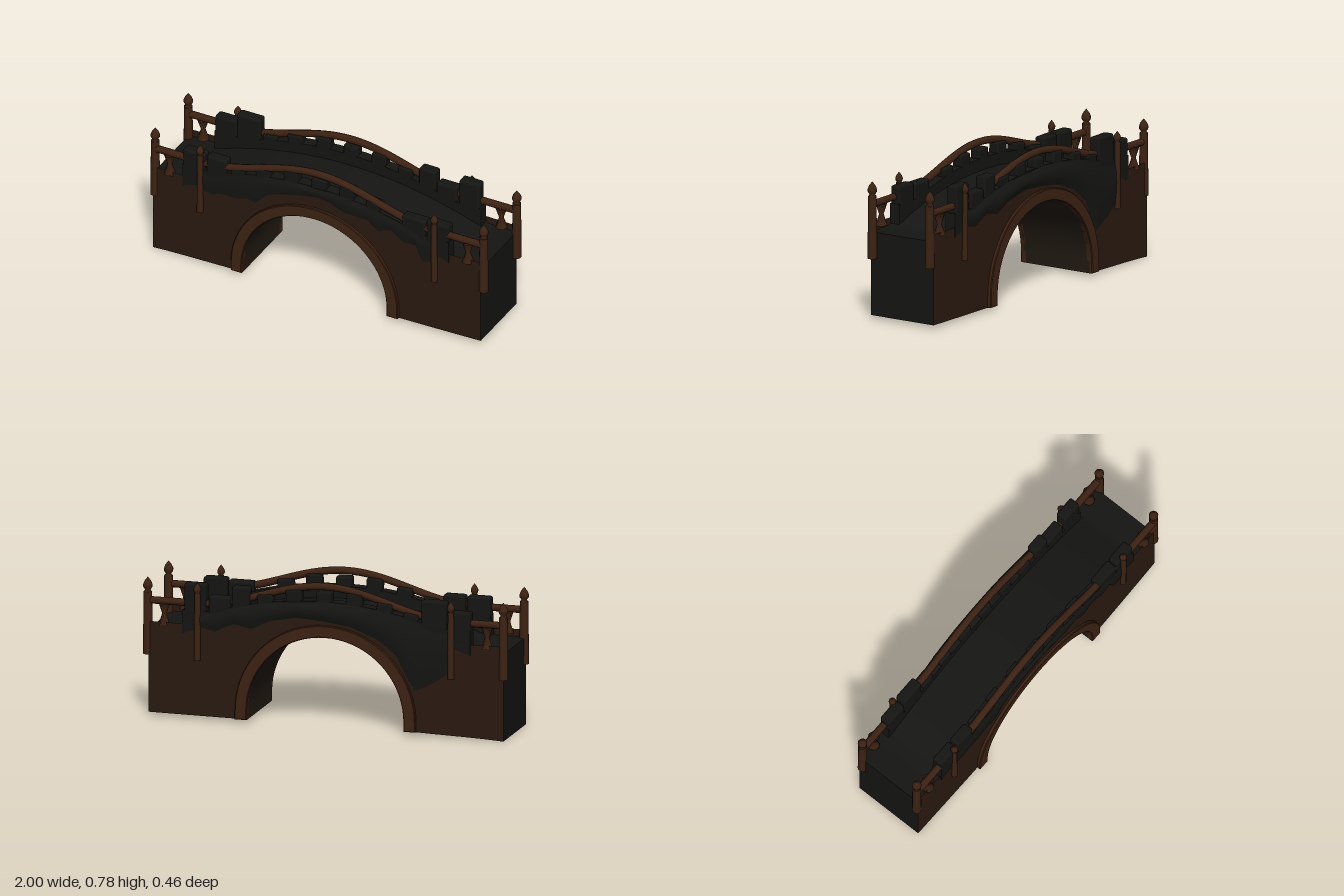
import * as THREE from 'three';
import { RoundedBoxGeometry } from 'three/addons/geometries/RoundedBoxGeometry.js';

const mat = (color) => new THREE.MeshStandardMaterial({ color, side: THREE.DoubleSide });
const wood = mat(0x3d2213), plaster = mat(0x2a1a10), stone = mat(0x151613), lining = mat(0x211a12);

// Arch opening and the curves the bridge follows along x
const CX = -0.01, R = 0.43, SPRING = 0.07;
const deckY = (x) => 0.47 + 0.15 * Math.max(0, 1 - (x / 0.8) ** 2);
const wallTop = (x) => Math.max(0.51, deckY(x) + 0.02);
const courseTop = (x) => 0.685 - 0.1 * Math.min(1, (x / 0.62) ** 2);
const railY = (x) => 0.62 + (Math.abs(x) < 0.7 ? 0.07 * (1 + Math.cos((Math.PI * x) / 0.7)) : 0);
const wallZ = (x, s) => (s > 0 ? 0.204 : -0.194) + s * 0.014 * (1 - x * x);

function lerpTable(table, x) {
  for (let i = 1; i < table.length; i++) {
    const [x0, y0] = table[i - 1], [x1, y1] = table[i];
    if (x <= x1) return y0 + ((y1 - y0) * (x - x0)) / (x1 - x0);
  }
  return table[table.length - 1][1];
}

// Grid surface from a rule fn(i, j) -> [x, y, z]
function sheet(nu, nv, fn) {
  const pos = [], idx = [];
  for (let i = 0; i <= nu; i++) for (let j = 0; j <= nv; j++) pos.push(...fn(i, j));
  for (let i = 0; i < nu; i++) for (let j = 0; j < nv; j++) {
    const a = i * (nv + 1) + j, b = a + nv + 1;
    idx.push(a, b, a + 1, b, b + 1, a + 1);
  }
  const g = new THREE.BufferGeometry();
  g.setAttribute('position', new THREE.Float32BufferAttribute(pos, 3));
  g.setIndex(idx);
  g.computeVertexNormals();
  return g;
}

function archPoints(r, n = 36) {
  const pts = [[CX - r, 0.02]];
  for (let i = 0; i <= n; i++) {
    const a = Math.PI * (1 - i / n);
    pts.push([CX + r * Math.cos(a), SPRING + (r - 0.005) * Math.sin(a)]);
  }
  return [...pts, [CX + r, 0.02]];
}

export function createModel() {
  const model = new THREE.Group();
  const add = (name, geo, material, x = 0, y = 0, z = 0) => {
    const m = new THREE.Mesh(geo, material);
    m.name = name;
    m.position.set(x, y, z);
    model.add(m);
    return m;
  };

  // Bottom outline: left pier, arch, right pier
  const arch = archPoints(R);
  const base = [[-0.98, 0], [-0.88, 0.006], [-0.78, 0.01], [-0.6, 0.015], ...arch,
    [0.6, 0.02], [0.78, 0.02], [0.88, 0.02], [0.965, 0.02]];

  // Arch lining and the walking deck
  add('archLining', sheet(arch.length - 1, 1, (i, j) =>
    [arch[i][0], arch[i][1], wallZ(arch[i][0], j ? 1 : -1)]), lining);
  add('deck', sheet(48, 1, (i, j) => {
    const x = -0.98 + (1.945 * i) / 48;
    return [x, deckY(x), wallZ(x, j ? -1 : 1)];
  }), stone);

  // End walls
  for (const [x, y] of [base[0], base[base.length - 1]])
    add('endWall', sheet(1, 1, (i, j) => [x, j ? 0.47 : y, wallZ(x, i ? 1 : -1)]), stone);

  // Ragged lower edges of the dark facing, front and back
  const ragged = {
    front: [[-0.68, 0.46], [-0.62, 0.45], [-0.58, 0.47], [-0.48, 0.47], [-0.42, 0.49], [-0.36, 0.48],
      [-0.3, 0.55], [-0.22, 0.58], [-0.1, 0.61], [0, 0.63], [0.08, 0.62], [0.14, 0.59], [0.22, 0.58],
      [0.3, 0.58], [0.36, 0.53], [0.44, 0.56], [0.52, 0.5], [0.58, 0.52], [0.62, 0.42], [0.68, 0.43]],
    back: [[-0.7, 0.36], [-0.6, 0.29], [-0.5, 0.24], [-0.46, 0.3], [-0.4, 0.42], [-0.3, 0.5], [-0.15, 0.56],
      [0, 0.58], [0.15, 0.59], [0.3, 0.56], [0.4, 0.51], [0.5, 0.53], [0.6, 0.48], [0.68, 0.5]],
  };
  // Tall end merlons: [x, width, top]
  const endMerlons = {
    front: [[-0.735, 0.13, 0.68], [-0.6, 0.12, 0.68], [0.57, 0.14, 0.67], [0.71, 0.13, 0.68]],
    back: [[-0.735, 0.13, 0.68], [-0.6, 0.14, 0.73], [0.46, 0.1, 0.73], [0.575, 0.12, 0.67], [0.71, 0.12, 0.73]],
  };

  const finial = new THREE.LatheGeometry([[0, 0.09], [0.006, 0.082], [0.018, 0.066], [0.025, 0.048],
    [0.024, 0.034], [0.014, 0.02], [0.02, 0.012], [0.02, 0]].reverse().map((p) => new THREE.Vector2(...p)), 16);

  for (const s of [1, -1]) {
    const side = s > 0 ? 'front' : 'back';
    const postZ = s > 0 ? 0.19 : -0.178, railZ = s > 0 ? 0.195 : -0.176;
    const parapetZ = s > 0 ? 0.184 : -0.173;

    // Side wall with the arch cut out
    add(side + 'Wall', sheet(base.length - 1, 4, (i, j) => {
      const [x, y] = base[i];
      return [x, y + ((wallTop(x) - y) * j) / 4, wallZ(x, s)];
    }), plaster);

    // Dark facing swelling out of the wall below the parapet
    add(side + 'Facing', sheet(80, 4, (i, j) => {
      const x = -0.69 + (1.375 * i) / 80, v = j / 4;
      const low = lerpTable(ragged[side], x), high = courseTop(x) - 0.005;
      const bulge = 0.003 + (s > 0 ? 0.006 : 0.016) * Math.sin(Math.PI * v) * (1 - x * x);
      return [x, low + (high - low) * v, wallZ(x, s) + s * bulge * (v < 1 ? 1 : -1)];
    }), stone);

    // Raised arch trim
    const ring = new THREE.Shape([...archPoints(R + 0.065), ...archPoints(R).reverse()]
      .map((p) => new THREE.Vector2(...p)));
    add(side + 'ArchTrim', new THREE.ExtrudeGeometry(ring, { depth: 0.03, bevelEnabled: true,
      bevelSize: 0.004, bevelOffset: -0.004, bevelThickness: 0.004, bevelSegments: 1 }),
    wood, 0, 0, s > 0 ? 0.2 : -0.221);

    // Parapet course following the deck
    const top = [], bottom = [];
    for (let i = 0; i <= 40; i++) {
      const x = -0.8 + (1.58 * i) / 40;
      top.push(new THREE.Vector2(x, courseTop(x)));
      bottom.unshift(new THREE.Vector2(x, deckY(x) - 0.02));
    }
    add(side + 'Parapet', new THREE.ExtrudeGeometry(new THREE.Shape([...top, ...bottom]),
      { depth: 0.06, bevelEnabled: false }), stone, 0, 0, parapetZ - 0.03);

    // Merlons under the arched rail, then the taller ones near the ends
    for (const x of [-0.47, -0.325, -0.16, 0.005, 0.17, 0.325]) {
      const h = 0.1, m = add('merlon', new RoundedBoxGeometry(0.085, h, 0.06, 2, 0.01), stone,
        x, Math.min(0.735, railY(x)) - h / 2, parapetZ);
      m.rotation.z = -0.3 * x;
    }
    for (const [x, w, y] of endMerlons[side])
      add('endMerlon', new RoundedBoxGeometry(w, 0.17, 0.062, 2, 0.013), stone, x, y - 0.085, parapetZ);

    // Handrail
    const path = [];
    for (let i = 0; i <= 40; i++) {
      const x = -0.975 + (1.95 * i) / 40;
      path.push(new THREE.Vector3(x, railY(x), railZ));
    }
    const rail = new THREE.TubeGeometry(new THREE.CatmullRomCurve3(path), 90, 0.02, 8);
    add(side + 'Handrail', rail, wood);

    // Posts with onion finials, and waisted balusters at the ends
    for (const e of [-1, 1]) {
      add('endPost', new THREE.CylinderGeometry(0.023, 0.025, 0.335, 16), wood, e * 0.975, 0.4975, postZ);
      add('endFinial', finial, wood, e * 0.975, 0.655, postZ);
      const x = e * 0.695, z = wallZ(x, s) + s * 0.004;
      add('innerPost', new THREE.CylinderGeometry(0.016, 0.018, 0.36, 12), wood, x, 0.5, z);
      add('innerFinial', finial, wood, x, 0.665, z).scale.set(0.8, 0.8, 0.8);
      const waist = [[0.032, 0], [0.012, 0.06], [0.032, 0.12]].map((p) => new THREE.Vector2(...p));
      add('baluster', new THREE.LatheGeometry(waist, 8), wood, e * 0.885, 0.49, railZ);
    }
  }
  return model;
}
